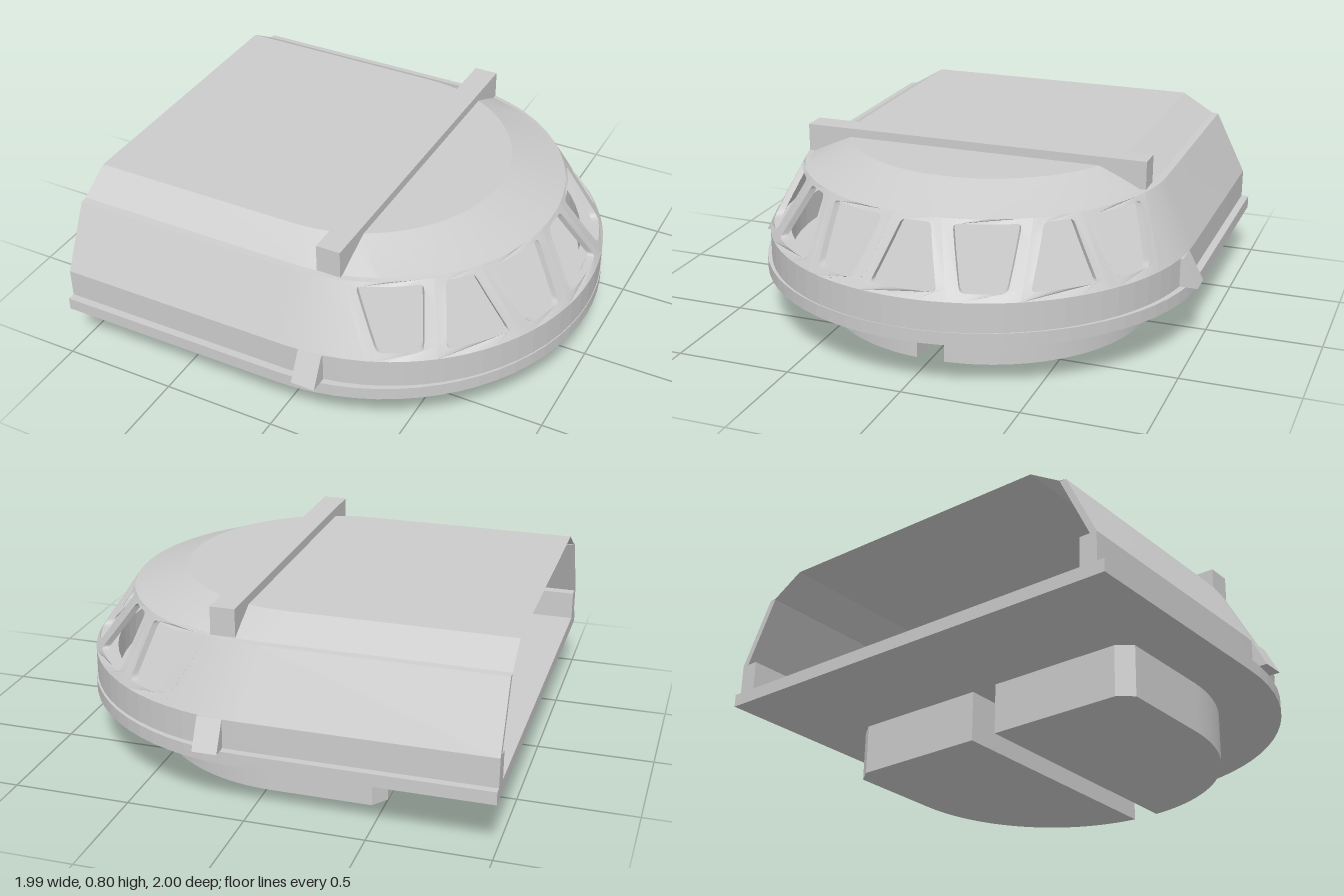
import * as THREE from 'three';
import { toCreasedNormals } from 'three/addons/utils/BufferGeometryUtils.js';

const RAD = Math.PI / 180;
const STERN = -1;
const grey = new THREE.MeshStandardMaterial({ color: 0xcccccc, side: THREE.DoubleSide });

function add(parent, name, geometry) {
  const mesh = new THREE.Mesh(geometry, grey);
  mesh.name = name;
  parent.add(mesh);
  return mesh;
}

// Point on a U-shaped ring: -1 and 2 are the two stern ends, 0..1 runs round the bow
function ringPoint({ y, c, r, span = 180 }, f) {
  if (f === -1) return [STERN, y, -r];
  if (f === 2) return [STERN, y, r];
  const a = (-90 + f * span) * RAD;
  return [c + r * Math.cos(a), y, r * Math.sin(a)];
}

// Skin between U-shaped rings; a closed profile also gets end caps
function loft(rings, { segments = 36, bothSides = true, closed = false, crease = 0.3 } = {}) {
  const path = [-1];
  for (let i = 0; i <= segments; i++) path.push(i / segments);
  if (bothSides) path.push(2);
  const pos = [];
  const quad = (a, b, c, d) => pos.push(...a, ...b, ...c, ...a, ...c, ...d);
  const n = rings.length;
  for (let i = 0; i < path.length - 1; i++) {
    for (let j = 0; j < (closed ? n : n - 1); j++) {
      const lo = rings[j], hi = rings[(j + 1) % n];
      quad(ringPoint(lo, path[i]), ringPoint(hi, path[i]),
        ringPoint(hi, path[i + 1]), ringPoint(lo, path[i + 1]));
    }
  }
  if (closed) {
    const start = rings.map((r) => ringPoint(r, path[0]));
    const end = rings.map((r) => ringPoint(r, path[path.length - 1]));
    quad(start[3], start[2], start[1], start[0]);
    quad(...end);
  }
  const g = new THREE.BufferGeometry();
  g.setAttribute('position', new THREE.Float32BufferAttribute(pos, 3));
  return toCreasedNormals(g, crease);
}

// Trapezoid outline with rounded corners and subdivided edges
function trapezoid(halfBottom, halfTop, y0, y1, radius) {
  const k = 0.87 * RAD;
  const corners = [[-halfBottom * k, y0], [halfBottom * k, y0], [halfTop * k, y1], [-halfTop * k, y1]]
    .map(([x, y]) => new THREE.Vector2(x, y));
  const toward = (a, b) => a.clone().add(b.clone().sub(a).setLength(radius));
  const pts = [];
  corners.forEach((p, i) => {
    const prev = corners[(i + 3) % 4], next = corners[(i + 1) % 4];
    const out = toward(p, next), nextIn = toward(next, p);
    if (radius) pts.push(...new THREE.QuadraticBezierCurve(toward(p, prev), p, out).getPoints(4).slice(0, 4));
    for (let s = 0; s < 6; s++) pts.push(out.clone().lerp(nextIn, s / 6));
  });
  return pts;
}

const THICK = 0.03, SILL = 0.4, HEAD = 0.675;

// One window panel, bent onto the sloping bow wall
function windowPanel(centre, wideTop) {
  const shape = new THREE.Shape(wideTop ? trapezoid(8.8, 12.8, SILL, HEAD, 0) : trapezoid(11.4, 7.4, SILL, HEAD, 0));
  shape.holes.push(new THREE.Path(wideTop
    ? trapezoid(5.8, 9.6, 0.43, 0.658, 0.022) : trapezoid(8.8, 4.4, 0.43, 0.658, 0.022)));
  const g = new THREE.ExtrudeGeometry(shape, { depth: THICK, bevelEnabled: false });
  const p = g.attributes.position;
  for (let i = 0; i < p.count; i++) {
    const t = (p.getY(i) - SILL) / (HEAD - SILL);
    const a = centre * RAD - p.getX(i) / 0.87;
    const r = 0.937 - 0.137 * t - THICK + p.getZ(i);
    p.setXYZ(i, 0.05 * (1 - t) + r * Math.cos(a), p.getY(i), r * Math.sin(a));
  }
  return toCreasedNormals(g, 0.4);
}

export function createModel() {
  const model = new THREE.Group();
  model.name = 'cabin';

  // Floor slab, its rim standing out as a ledge
  add(model, 'floorSlab', loft([
    { y: 0.22, c: 0.02, r: 0 }, { y: 0.22, c: 0.02, r: 0.97 },
    { y: 0.275, c: 0.02, r: 0.97 }, { y: 0.275, c: 0.02, r: 0 },
  ], { closed: true, crease: 0.05 }));

  // Vertical lower wall, thick enough to form a shelf inside
  add(model, 'lowerWall', loft([
    { y: 0.25, c: 0.05, r: 0.937 }, { y: SILL, c: 0.05, r: 0.937 },
    { y: SILL, c: 0.03, r: 0.86 }, { y: 0.25, c: 0.03, r: 0.86 },
  ], { closed: true, crease: 0.05 }));

  // Solid sloping side walls
  const sideGeometry = loft([
    { y: SILL, c: 0.05, r: 0.937, span: 20.6 }, { y: HEAD, c: 0, r: 0.8, span: 16.6 },
    { y: HEAD, c: 0, r: 0.77, span: 16.6 }, { y: SILL, c: 0.05, r: 0.907, span: 20.6 },
  ], { segments: 4, bothSides: false, closed: true });
  add(model, 'rightSideWall', sideGeometry);
  add(model, 'leftSideWall', sideGeometry).scale.z = -1;

  // Seven windows, alternately wide at the bottom and at the top
  const windows = new THREE.Group();
  windows.name = 'bowWindows';
  model.add(windows);
  for (let k = -3; k <= 3; k++) add(windows, 'windowFrame', windowPanel(k * 20.2, k % 2 !== 0));

  // Roof: narrow rim, sloping shoulder, flat top
  add(model, 'roof', loft([
    { y: HEAD, c: 0, r: 0.8 }, { y: 0.678, c: 0.02, r: 0.77 },
    { y: 0.762, c: -0.07, r: 0.63 }, { y: 0.762, c: -0.07, r: 0 },
  ]));

  // Beam across the roof
  const beam = add(model, 'roofBeam', new THREE.BoxGeometry(0.105, 0.12, 1.53));
  beam.position.set(0.16, 0.74, 0);

  // Wedge brackets and underfloor pods, mirrored
  const wedge = new THREE.ExtrudeGeometry(new THREE.Shape([
    new THREE.Vector2(-0.91, 0.275), new THREE.Vector2(-0.91, 0.4),
    new THREE.Vector2(-0.935, 0.4), new THREE.Vector2(-1, 0.275),
  ]), { depth: 0.105, bevelEnabled: false });
  wedge.rotateY(Math.PI / 2).translate(0.108, 0, 0);

  const podShape = new THREE.Shape();
  podShape.moveTo(-0.5, 0.06);
  podShape.lineTo(0.687, 0.06);
  podShape.absarc(-0.025, 0.01, 0.715, 0.07, Math.PI / 2, false);
  podShape.lineTo(-0.45, 0.725);
  podShape.lineTo(-0.5, 0.66);
  podShape.closePath();
  let pod = new THREE.ExtrudeGeometry(podShape, { depth: 0.22, bevelEnabled: false, curveSegments: 24 });
  pod.rotateX(Math.PI / 2).translate(0, 0.22, 0);
  pod = toCreasedNormals(pod, 0.4);

  for (const side of [1, -1]) {
    const label = side > 0 ? 'left' : 'right';
    add(model, label + 'Bracket', wedge).scale.z = side;
    add(model, label + 'UnderfloorPod', pod).scale.z = side;
  }
  return model;
}
